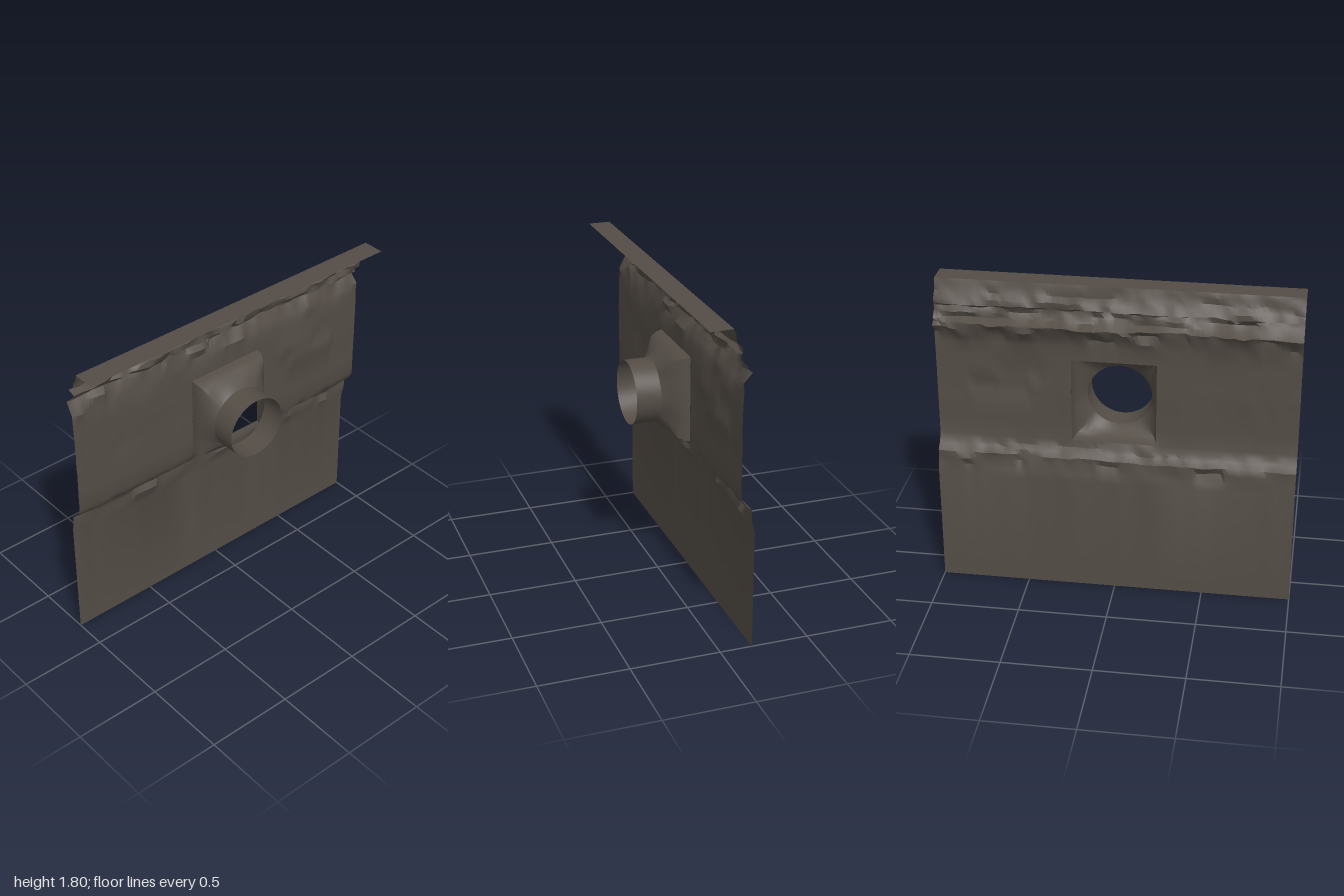
import * as THREE from 'three';
import { toCreasedNormals } from 'three/addons/utils/BufferGeometryUtils.js';

const stone = new THREE.MeshStandardMaterial({ color: 0x544d46, side: THREE.DoubleSide });
stone.name = 'dark stone';

// Skin a surface over rows of points, leaving out any cell the skip test names
function skin(rows, crease, skip = () => false) {
  const n = rows[0].length, index = [];
  for (let j = 0; j < rows.length - 1; j++) {
    for (let i = 0; i < n - 1; i++) {
      if (skip(i, j)) continue;
      const a = j * n + i, b = a + n;
      index.push(a, b, a + 1, b, b + 1, a + 1);
    }
  }
  const geo = new THREE.BufferGeometry();
  geo.setAttribute('position', new THREE.Float32BufferAttribute(rows.flat(2), 3));
  geo.setIndex(index);
  return toCreasedNormals(geo, crease);
}

// Repeatable noise, eased between lattice points along the wall
function hash(a, b) {
  const s = Math.sin(a * 127.1 + b * 311.7) * 43758.5453;
  return (s - Math.floor(s)) * 2 - 1;
}
function noise(t, seed) {
  const k = Math.floor(t), f = t - k, s = f * f * (3 - 2 * f);
  return hash(k, seed) * (1 - s) + hash(k + 1, seed) * s;
}
const rough = (z, seed) => 0.65 * noise(z * 6 + 20, seed) + 0.35 * noise(z * 19 + 50, seed + 40);

// Opening: z and y limits
const Z0 = -0.25, Z1 = 0.22, Y0 = 0.89, Y1 = 1.38;

// Wall profile, bottom to top: x, y, roughness in x, roughness in y
const profile = [
  [-0.18, 0, 0, 0], [-0.18, 0.67, 0, 0], [-0.17, 0.715, 0.012, 0.02],
  [-0.162, 0.765, 0.015, 0.012], [-0.16, 0.805, 0.014, 0.008], [-0.128, 0.832, 0.014, 0.01],
  [-0.113, 0.855, 0.008, 0.008], [-0.1, Y0, 0, 0],
  [-0.1, 1.0, 0, 0], [-0.1, 1.14, 0.003, 0], [-0.1, 1.17, 0.003, 0], [-0.1, 1.23, 0.003, 0],
  [-0.1, 1.26, 0.003, 0], [-0.1, 1.33, 0.003, 0], [-0.1, Y1, 0, 0],
  [-0.1, 1.46, 0.005, 0.008], [-0.113, 1.505, 0.018, 0.015], [-0.14, 1.555, 0.025, 0.015],
  [-0.142, 1.585, 0.026, 0.012], [-0.105, 1.605, 0.022, 0.012], [-0.085, 1.635, 0.028, 0.01],
  [-0.075, 1.66, 0.028, 0.01], [-0.1, 1.675, 0.018, 0.01], [-0.085, 1.705, 0.02, 0.01],
  [-0.062, 1.735, 0.014, 0.01], [-0.052, 1.77, 0.008, 0.006], [-0.04, 1.8, 0.006, 0],
];

// Chipped blocks: z limits, y limits, step in x
const chips = [
  [0.45, 0.6, 0.73, 0.8, 0.018], [-0.1, 0.02, 0.74, 0.79, 0.014], [-0.57, -0.5, 0.73, 0.8, 0.014],
  [-0.82, -0.49, 1.16, 1.24, 0.01], [-0.66, -0.4, 1.25, 1.34, 0.009],
  [0.78, 1.01, 1.48, 1.56, 0.018], [0.1, 0.4, 1.54, 1.6, 0.02], [-0.16, 0.0, 1.49, 1.53, 0.015],
];

function wallGeometry() {
  const columns = [];
  const span = (a, b, n) => { for (let i = 0; i < n; i++) columns.push(a + (b - a) * i / n); };
  span(-1, Z0, 30); span(Z0, Z1, 18); span(Z1, 1, 30);
  columns.push(1);
  const rows = profile.map(([x, y, ax, ay], j) => columns.map(z => {
    let px = x + ax * rough(z, j * 0.35) + ax * 0.5 * rough(z, j + 90);
    const py = y + ay * rough(z, Math.floor(j / 3) + 200);
    for (const [a, b, c, d, step] of chips) if (z > a && z < b && y > c && y < d) px += step;
    return [Math.max(px, -0.18), py, z];
  }));
  const inside = (i, j) => columns[i] > Z0 - 1e-6 && columns[i + 1] < Z1 + 1e-6
    && profile[j][1] > Y0 - 1e-6 && profile[j + 1][1] < Y1 + 1e-6;
  return skin(rows, 0.65, inside);
}

// Square mouth narrowing to a round neck: x and blend from square to circle
function loftGeometry(sections, crease) {
  const N = 48, radius = 0.18, cy = 1.12;
  return skin(sections.map(([x, t, wear]) => Array.from({ length: N + 1 }, (_, i) => {
    const a = i % N / N * Math.PI * 2, c = Math.cos(a), s = Math.sin(a);
    const m = Math.max(Math.abs(c), Math.abs(s));
    const sz = (Z0 + Z1) / 2 + c / m * (Z1 - Z0) / 2;
    const sy = (Y0 + Y1) / 2 + s / m * (Y1 - Y0) / 2;
    const w = wear * noise(i % N / 4, 7);
    return [x + w, sy + (cy + s * radius - sy) * t, sz + (c * radius - sz) * t];
  })), crease);
}

export function createModel() {
  const model = new THREE.Group();
  model.name = 'wallWithPipe';
  const add = (name, geo) => {
    const mesh = new THREE.Mesh(geo, stone);
    mesh.name = name;
    model.add(mesh);
  };

  add('rockWall', wallGeometry());
  add('pipeSurround', loftGeometry(
    [[-0.1, 0, 0], [-0.07, 0.05, 0.006], [-0.035, 0.2, 0.01], [0, 0.65, 0.01], [0.04, 1, 0]], 0.8));
  add('pipe', loftGeometry([[0.04, 1, 0], [0.18, 1, 0]], 0.8));

  // Flat ledge along the top, meeting the worn edge of the wall
  const ledge = new THREE.PlaneGeometry(0.125, 2).rotateX(-Math.PI / 2);
  ledge.translate(0.0175, 1.8, 0);
  add('topLedge', ledge);
  return model;
}
